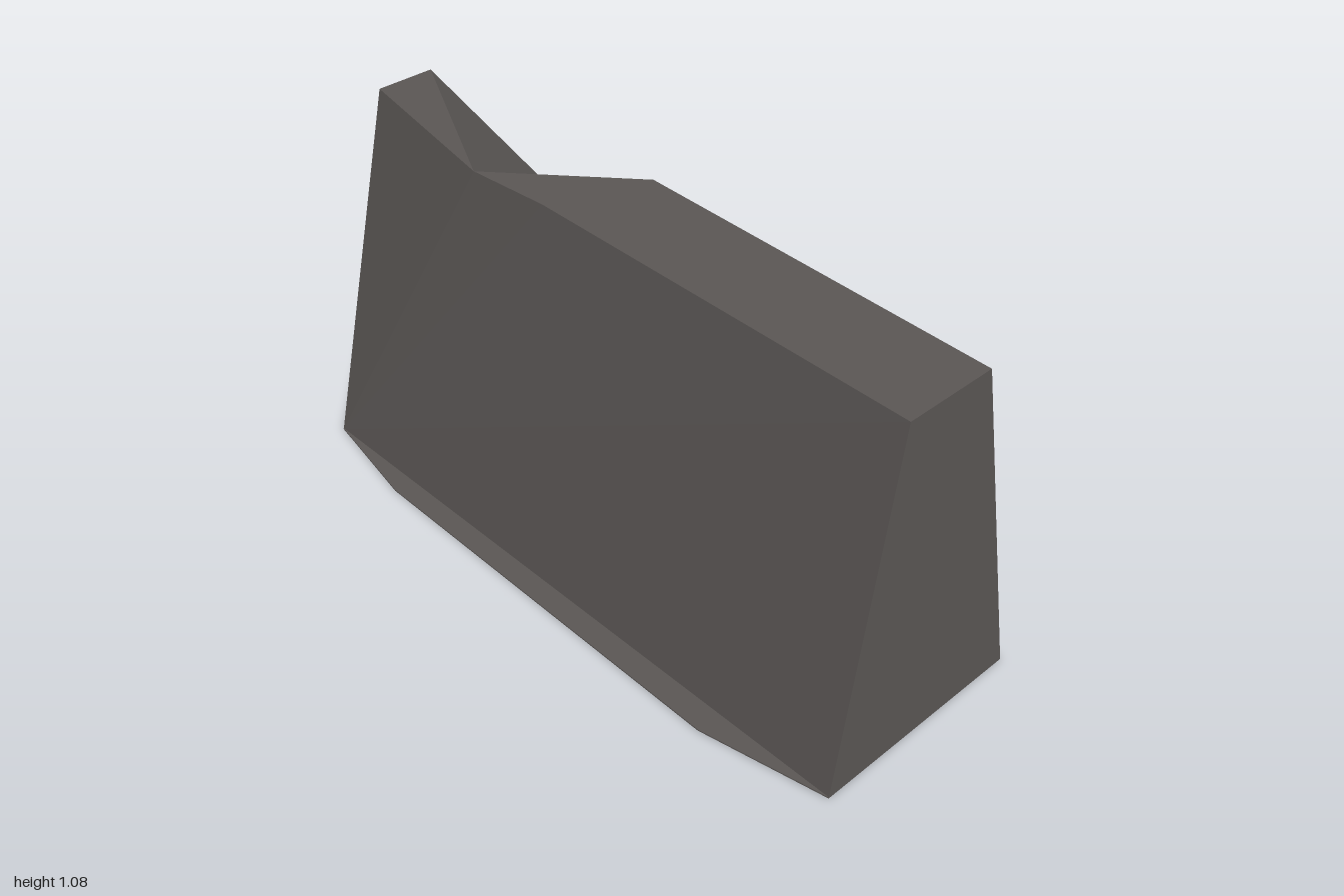
import * as THREE from 'three';

const H = 1.08;

// Named corners of the tapered block
const P = {
  frontBaseR: [-0.30, 0, 1], frontBaseL: [0.38, 0, 1],
  backBaseR: [-0.32, 0, -1], backBaseL: [0.36, 0, -1],
  frontTopR: [-0.155, H, 1], frontTopL: [0.12, H, 1],
  backTopR: [-0.06, H, -1], backTopL: [0.12, H, -1],
  lip: [0.15, H, -0.1],        // front end of the notch
  valley: [0.17, 0.87, -0.55], // lowest point of the notch
  apex: [-0.16, H, -0.45],     // inner end of the notch
  kink: [-0.14, H, -0.2],      // bend in the top edge
};

// Builds faces as fans around the first corner, anticlockwise from outside
function facets(faces) {
  const pos = [];
  for (const f of faces) {
    for (let i = 1; i < f.length - 1; i++) pos.push(...P[f[0]], ...P[f[i]], ...P[f[i + 1]]);
  }
  const g = new THREE.BufferGeometry();
  g.setAttribute('position', new THREE.Float32BufferAttribute(pos, 3));
  g.computeVertexNormals();
  return g;
}

export function createModel() {
  const group = new THREE.Group();
  group.name = 'notchedWallBlock';
  const stone = new THREE.MeshStandardMaterial({ color: 0x5a5654 });
  stone.name = 'dark stone';
  stone.flatShading = true;

  const add = (name, geometry) => {
    const mesh = new THREE.Mesh(geometry, stone);
    mesh.name = name;
    group.add(mesh);
  };

  // End walls
  add('frontWall', facets([['frontBaseR', 'frontBaseL', 'frontTopL', 'frontTopR']]));
  add('backWall', facets([['backBaseL', 'backBaseR', 'backTopR', 'backTopL']]));

  // Sloping side walls
  add('leftWall', facets([
    ['frontBaseL', 'backBaseL', 'lip', 'frontTopL'],
    ['backBaseL', 'backTopL', 'valley', 'lip'],
  ]));
  add('rightWall', facets([
    ['backBaseR', 'frontBaseR', 'frontTopR', 'kink', 'apex', 'backTopR'],
  ]));

  // Top and the notch broken out of it
  add('top', facets([
    ['kink', 'frontTopR', 'frontTopL', 'lip', 'apex'],
    ['apex', 'backTopL', 'backTopR'],
  ]));
  add('notch', facets([['apex', 'lip', 'valley'], ['apex', 'valley', 'backTopL']]));

  // Thin foot plate that closes the underside and juts out at the sides
  const outline = [[-0.30, 1], [0.38, 1], [0.38, -0.55], [0.36, -1], [-0.32, -1], [-0.38, -0.65], [-0.38, 0.63]];
  const shape = new THREE.Shape(outline.map(([x, z]) => new THREE.Vector2(x, z)));
  const plate = new THREE.ExtrudeGeometry(shape, { depth: 0.004, bevelEnabled: false });
  plate.rotateX(Math.PI / 2).translate(0, 0.004, 0);
  add('footPlate', plate);

  return group;
}
